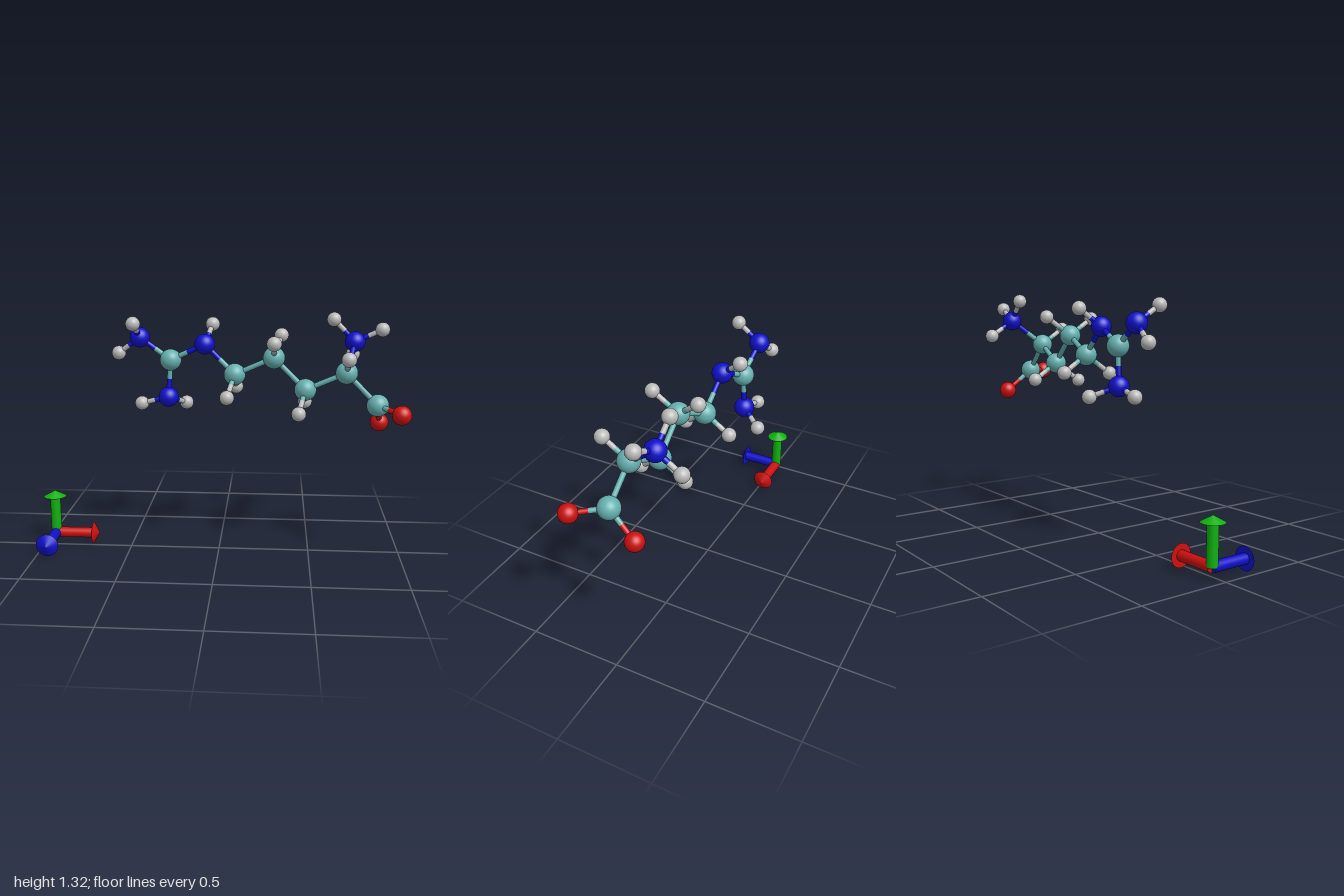
import * as THREE from 'three';

const material = (color) => new THREE.MeshStandardMaterial({ color });
const UP = new THREE.Vector3(0, 1, 0);
const BOND_RADIUS = 0.0145;

// Atom kinds: name, ball radius, material
const KINDS = {
  C: { name: 'carbon', r: 0.059, mat: material(0x66b0b0) },
  N: { name: 'nitrogen', r: 0.055, mat: material(0x1010cc) },
  O: { name: 'oxygen', r: 0.05, mat: material(0xcc1010) },
  H: { name: 'hydrogen', r: 0.039, mat: material(0xbababa) },
};

// Heavy atoms: kind, position, index of the atom it hangs from
const CHAIN = [
  ['C', [-0.27, 1.06, -0.075], -1],
  ['N', [-0.44, 1.18, -0.09], 0],
  ['N', [-0.285, 0.853, -0.08], 0],
  ['N', [-0.08, 1.152, -0.042], 0],
  ['C', [0.083, 0.992, -0.025], 3],
  ['C', [0.294, 1.09, 0.012], 4],
  ['C', [0.463, 0.922, 0.025], 5],
  ['C', [0.676, 1.021, 0.065], 6],
  ['C', [0.842, 0.853, 0.08], 7],
  ['N', [0.73, 1.163, -0.115], 7],
  ['O', [0.946, 0.836, 0.239], 8],
  ['O', [0.872, 0.73, -0.07], 8],
];

// Hydrogens, grouped by the heavy atom that carries them
const HYDROGENS = {
  1: [[-0.455, 1.267, 0.043], [-0.562, 1.09, -0.115]],
  2: [[-0.436, 0.813, -0.095], [-0.197, 0.799, -0.203]],
  3: [[-0.045, 1.248, -0.16]],
  4: [[0.048, 0.888, 0.108], [0.086, 0.9, -0.167]],
  5: [[0.294, 1.182, 0.157], [0.333, 1.195, -0.12]],
  6: [[0.427, 0.817, 0.159], [0.467, 0.83, -0.117]],
  7: [[0.674, 1.112, 0.208]],
  9: [[0.615, 1.281, -0.127], [0.872, 1.232, -0.092], [0.733, 1.077, -0.25]],
};

// Cylinder (or cone, if the end radius is 0) between two points
function rod(name, from, to, r0, r1, mat) {
  const dir = to.clone().sub(from);
  const mesh = new THREE.Mesh(new THREE.CylinderGeometry(r1, r0, dir.length(), 32), mat);
  mesh.position.copy(from).add(to).multiplyScalar(0.5);
  mesh.quaternion.setFromUnitVectors(UP, dir.normalize());
  mesh.name = name;
  return mesh;
}

function ball(atom) {
  const mesh = new THREE.Mesh(new THREE.SphereGeometry(atom.kind.r, 32, 20), atom.kind.mat);
  mesh.position.copy(atom.pos);
  mesh.name = atom.kind.name + 'Atom';
  return mesh;
}

// Stick in two halves, each in the colour of its own atom
function bond(a, b) {
  const group = new THREE.Group();
  group.name = 'bond';
  const mid = a.pos.clone().lerp(b.pos, 0.5);
  for (const end of [a, b]) {
    group.add(rod(end.kind.name + 'HalfBond', end.pos, mid, BOND_RADIUS, BOND_RADIUS, end.kind.mat));
  }
  return group;
}

function makeMolecule() {
  const group = new THREE.Group();
  group.name = 'molecule';
  const atoms = CHAIN.map(([k, p, parent]) => ({ kind: KINDS[k], pos: new THREE.Vector3(...p), parent }));
  for (const [parent, list] of Object.entries(HYDROGENS)) {
    for (const p of list) atoms.push({ kind: KINDS.H, pos: new THREE.Vector3(...p), parent: Number(parent) });
  }
  for (const atom of atoms) {
    group.add(ball(atom));
    if (atom.parent >= 0) group.add(bond(atom, atoms[atom.parent]));
  }
  return group;
}

// Three short arrows with wide, flat heads
function makeAxes() {
  const group = new THREE.Group();
  group.name = 'axisArrows';
  const arrows = [
    ['xArrow', [1, 0, 0], 0xcc1010],
    ['yArrow', [0, 1, 0], 0x10b010],
    ['zArrow', [0, 0, 1], 0x1010cc],
  ];
  for (const [name, d, color] of arrows) {
    const arrow = new THREE.Group();
    arrow.name = name;
    const at = (t) => new THREE.Vector3(...d).multiplyScalar(t);
    const mat = material(color);
    arrow.add(rod('shaft', at(0), at(0.217), 0.029, 0.029, mat));
    arrow.add(rod('head', at(0.215), at(0.25), 0.0625, 0, mat));
    group.add(arrow);
  }
  group.position.set(-0.9375, 0.0625, -0.03);
  return group;
}

export function createModel() {
  const model = new THREE.Group();
  model.name = 'ballAndStickModel';
  model.add(makeMolecule(), makeAxes());
  return model;
}
